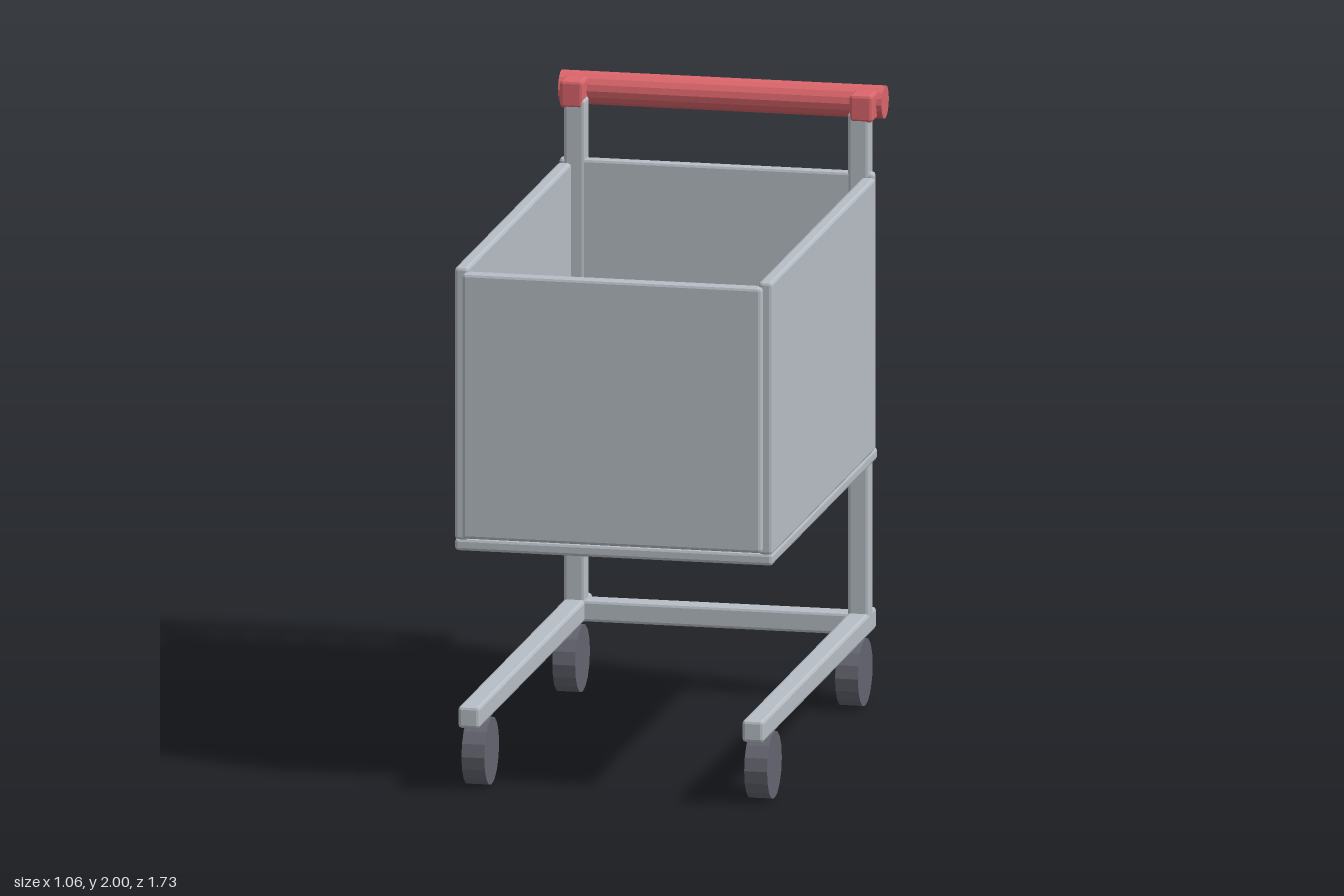
import * as THREE from 'three';
import { RoundedBoxGeometry } from 'three/addons/geometries/RoundedBoxGeometry.js';

const material = (name, color) => {
  const m = new THREE.MeshStandardMaterial({ color });
  m.name = name;
  return m;
};

export function createModel() {
  const cart = new THREE.Group();
  cart.name = 'shoppingCart';
  const metal = material('paleSteel', 0xb8bec6);
  const red = material('handleRed', 0xdc666c);
  const rubber = material('darkRubber', 0x646470);

  // Box with chamfered edges, given by its [min, max] range on each axis
  const bar = (name, mat, [x0, x1], [y0, y1], [z0, z1], bevel = 0.01) => {
    const g = new RoundedBoxGeometry(x1 - x0, y1 - y0, z1 - z0, 1, bevel);
    g.computeVertexNormals(); // unshared vertices give flat facets
    const mesh = new THREE.Mesh(g, mat);
    mesh.name = name;
    mesh.position.set((x0 + x1) / 2, (y0 + y1) / 2, (z0 + z1) / 2);
    cart.add(mesh);
  };

  // Faceted cylinder lying along x
  const roller = (name, mat, radius, length, x, y, z) => {
    const g = new THREE.CylinderGeometry(radius, radius, length, 16).rotateZ(Math.PI / 2).toNonIndexed();
    g.computeVertexNormals();
    const mesh = new THREE.Mesh(g, mat);
    mesh.name = name;
    mesh.position.set(x, y, z);
    cart.add(mesh);
  };

  // Open basket
  bar('basketFloor', metal, [-0.52, 0.52], [0.79, 0.83], [-0.745, 0.825]);
  bar('basketFront', metal, [-0.49, 0.49], [0.835, 1.705], [0.8, 0.85]);
  bar('basketBack', metal, [-0.515, 0.515], [0.81, 1.735], [-0.745, -0.705]);

  // Crossbar joining the base rails
  bar('baseCrossbar', metal, [-0.45, 0.45], [0.217, 0.288], [-0.77, -0.7]);

  // Parts mirrored on both sides
  for (const [label, s] of [['left', 1], ['right', -1]]) {
    const side = (a, b) => (s > 0 ? [a, b] : [-b, -a]);
    bar(label + 'BasketSide', metal, side(0.475, 0.52), [0.825, 1.72], [-0.712, 0.825]);
    bar(label + 'BaseRail', metal, side(0.43, 0.5), [0.217, 0.288], [-0.82, 0.865]);
    bar(label + 'Post', metal, side(0.43, 0.5), [0.25, 1.93], [-0.77, -0.702]);
    bar(label + 'HandleBracket', red, side(0.436, 0.512), [1.9, 1.99], [-0.81, -0.7]);
    roller(label + 'FrontWheel', rubber, 0.11, 0.075, s * 0.463, 0.11, 0.7);
    roller(label + 'BackWheel', rubber, 0.11, 0.075, s * 0.463, 0.11, -0.65);
  }

  // Push handle
  roller('handle', red, 0.054, 1.06, 0, 1.946, -0.812);

  return cart;
}
